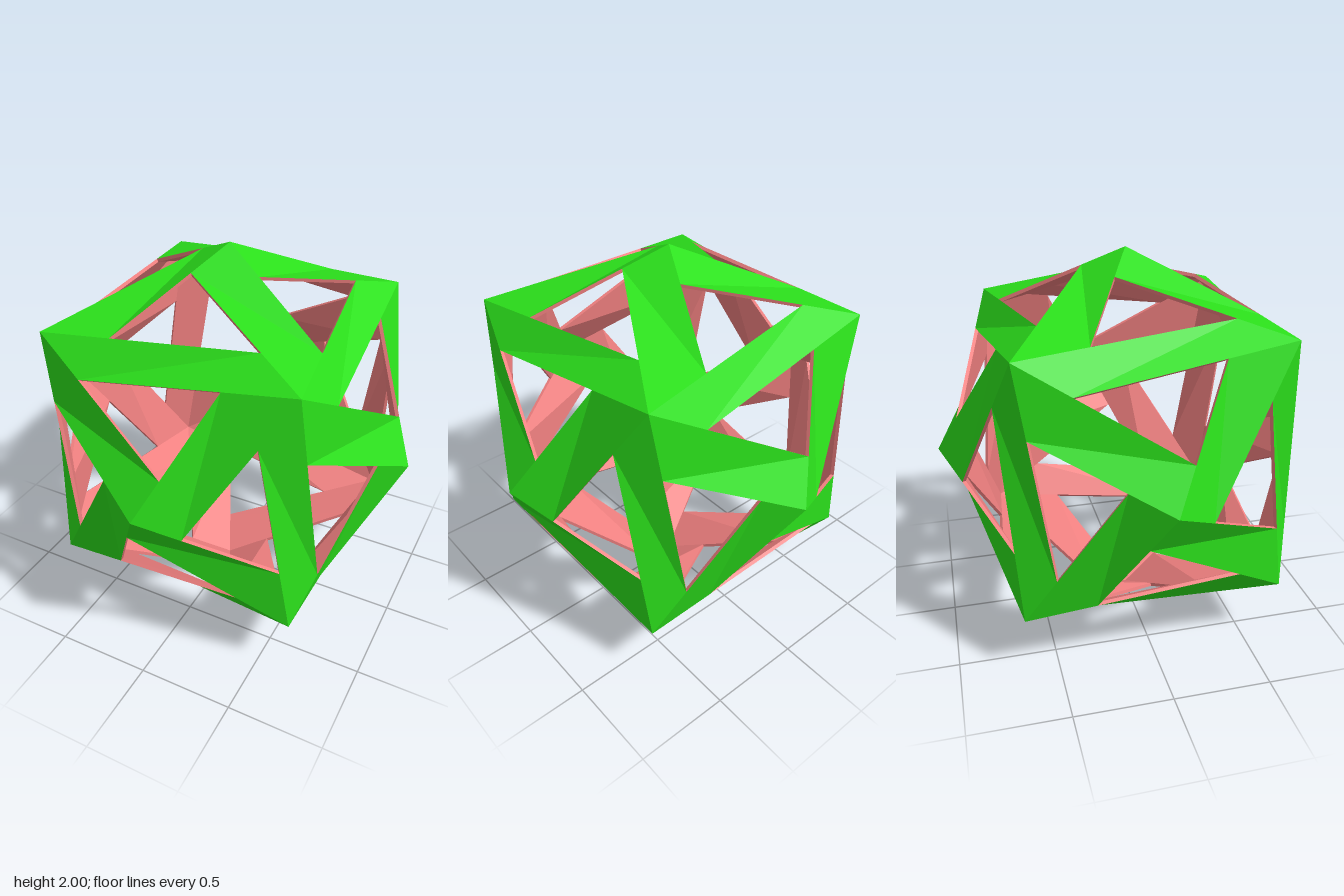
import * as THREE from 'three';

const SHELL = 0.98; // inner skin relative to the outer one

// Corner of the pinwheel hole nearest to u in the counter-clockwise face u, v, w
const holeCorner = (u, v, w) => new THREE.Vector3()
  .addScaledVector(u, 18 / 26).addScaledVector(v, 6 / 26).addScaledVector(w, 2 / 26);

const inner = (p) => p.clone().multiplyScalar(SHELL);

function meshFrom(points, color, name) {
  const geometry = new THREE.BufferGeometry().setFromPoints(points);
  geometry.computeVertexNormals();
  const mesh = new THREE.Mesh(geometry, new THREE.MeshStandardMaterial({ color, flatShading: true }));
  mesh.name = name;
  return mesh;
}

// Folded band along the edge a-b, with face tips l on its left and r on its right
function makeBand(a, b, l, r, name) {
  const left = holeCorner(b, l, a);
  const right = holeCorner(a, r, b);
  const outer = [a, right, left, b, left, right];
  // Inner skin, facing the centre
  const lining = [a, left, right, b, right, left].map(inner);
  // Thin walls where the band borders a hole
  for (const [m, n] of [[holeCorner(a, b, l), left], [holeCorner(b, a, r), right]]) {
    lining.push(m, n, inner(n), m, inner(n), inner(m));
  }
  const band = new THREE.Group();
  band.name = name;
  band.add(meshFrom(outer, 0x2be01b, 'outerSkin'), meshFrom(lining, 0xf08080, 'innerLining'));
  return band;
}

export function createModel() {
  const model = new THREE.Group();
  model.name = 'wovenPolyhedron';
  const ball = new THREE.Group();
  ball.name = 'bands';
  ball.position.y = 1;
  model.add(ball);

  for (let axis = 0; axis < 3; axis++) {
    for (const sign of [1, -1]) {
      // Tip of a low pyramid and the four cube corners around it
      const tip = new THREE.Vector3().setComponent(axis, sign);
      const u = new THREE.Vector3().setComponent((axis + 1) % 3, 1);
      const v = tip.clone().cross(u);
      const corners = [[1, 1], [-1, 1], [-1, -1], [1, -1]].map(([s, t]) =>
        tip.clone().addScaledVector(u, s).addScaledVector(v, t).multiplyScalar(2 / 3));

      for (let i = 0; i < 4; i++) {
        const corner = corners[i];
        const next = corners[(i + 1) % 4];
        const previous = corners[(i + 3) % 4];
        ball.add(makeBand(tip, corner, next, previous, 'slopeBand'));

        // Each cube edge is shared by two pyramids, so build it from one only
        const otherTip = corner.clone().add(next).multiplyScalar(0.75).sub(tip);
        const otherAxis = otherTip.toArray().findIndex((c) => Math.abs(c) > 0.5);
        if (axis < otherAxis) ball.add(makeBand(corner, next, tip, otherTip, 'rimBand'));
      }
    }
  }
  return model;
}
